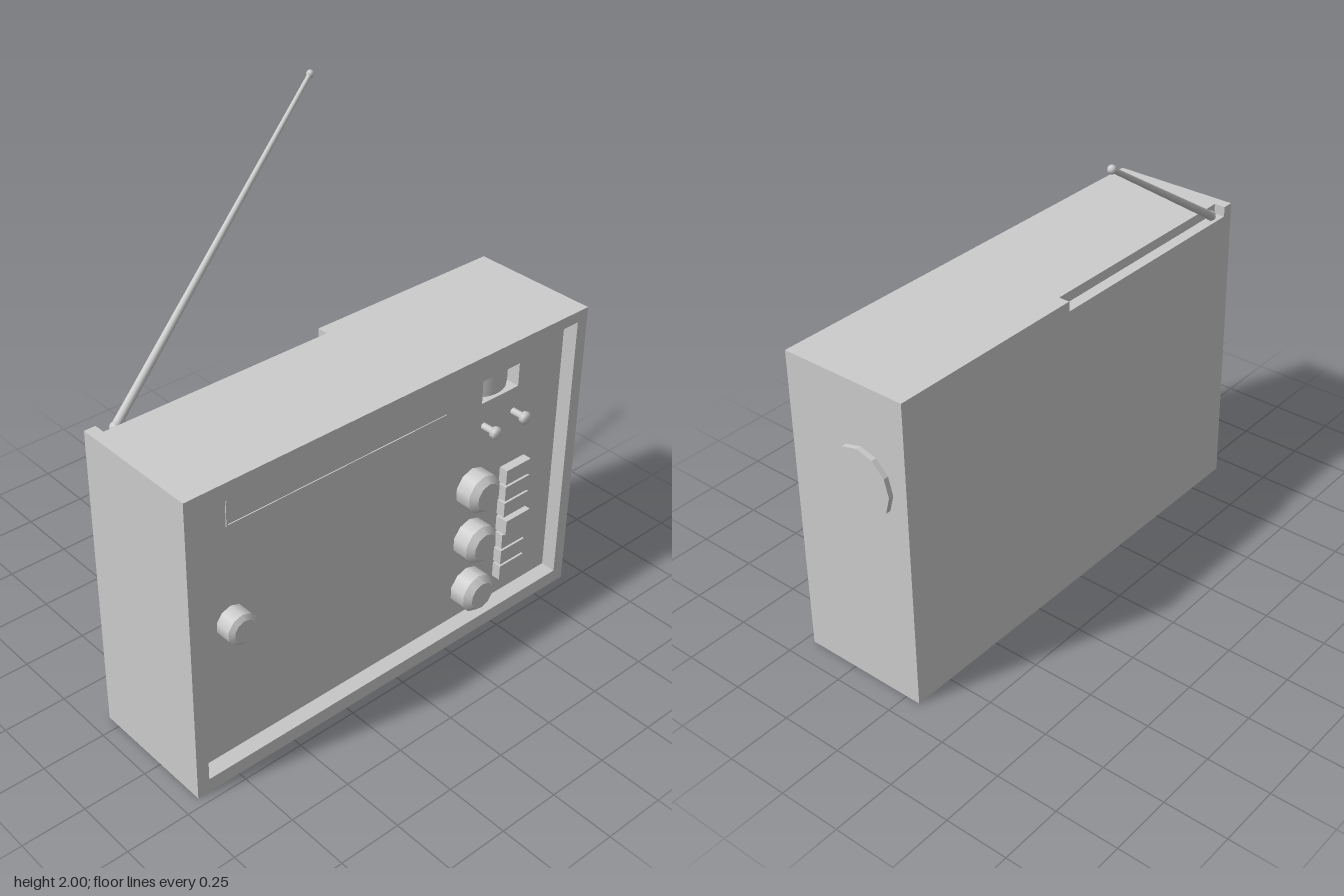
import * as THREE from 'three';

const material = new THREE.MeshStandardMaterial({ color: 0xcccccc, side: THREE.DoubleSide });
const flat = new THREE.MeshStandardMaterial({ color: 0xcccccc, flatShading: true, side: THREE.DoubleSide });

// Case extents
const L = -0.93, R = 0.91, TOP = 1.245, BACK = -0.06, FRONT = 0.465, PANEL = 0.415;

const rect = (x0, y0, x1, y1) => [[x0, y0], [x1, y0], [x1, y1], [x0, y1]];
const toVec = (pts) => pts.map(([x, y]) => new THREE.Vector2(x, y));

export function createModel() {
  const radio = new THREE.Group();
  radio.name = 'portableRadio';

  function add(name, geometry, x = 0, y = 0, z = 0, mat = material) {
    const mesh = new THREE.Mesh(geometry, mat);
    mesh.name = name;
    mesh.position.set(x, y, z);
    radio.add(mesh);
    return mesh;
  }

  // A slab of the case between two depths, with an optional opening
  function slab(name, outline, z0, z1, hole) {
    const shape = new THREE.Shape(toVec(outline));
    if (hole) shape.holes.push(new THREE.Path(toVec(hole)));
    add(name, new THREE.ExtrudeGeometry(shape, { depth: z1 - z0, bevelEnabled: false }), 0, 0, z0, flat);
  }

  // Box given by its lower and upper corners
  function block(name, [x0, y0, z0], [x1, y1, z1]) {
    add(name, new THREE.BoxGeometry(x1 - x0, y1 - y0, z1 - z0),
      (x0 + x1) / 2, (y0 + y1) / 2, (z0 + z1) / 2, flat);
  }

  // Case: notched back, solid middle, panel with display window, front frame
  const full = rect(L, 0, R, TOP);
  const rim = rect(-0.88, 0.058, 0.86, 1.2);
  const inner = rect(-0.867, 0.073, 0.846, 1.188);
  const notched = [[L, 0], [R, 0], [R, TOP], [0.07, TOP], [0.07, 1.205],
    [-0.885, 1.205], [-0.885, TOP], [L, TOP]];
  slab('caseBack', notched, BACK, -0.015);
  slab('caseMiddle', full, -0.015, 0.36);
  slab('frontPanel', full, 0.36, PANEL, rect(0.43, 1.005, 0.617, 1.1));
  slab('frontFrame', full, PANEL, FRONT, rim);

  // Slanted walls inside the front frame
  const corners = [], faces = [];
  for (let i = 0; i < 4; i++) {
    corners.push(...rim[i], FRONT, ...inner[i], PANEL);
    const a = 2 * i, b = 2 * ((i + 1) % 4);
    faces.push(a, b, b + 1, a, b + 1, a + 1);
  }
  const bezel = new THREE.BufferGeometry();
  bezel.setAttribute('position', new THREE.Float32BufferAttribute(corners, 3));
  bezel.setIndex(faces);
  bezel.computeVertexNormals();
  add('frameBezel', bezel, 0, 0, 0, flat);

  // Curved drum behind the display window
  add('displayDrum', new THREE.CylinderGeometry(0.12, 0.12, 0.095, 24, 1, false, -0.9, 1.8),
    0.523, 1.052, 0.28);

  // Tuning scale lines
  block('scaleEnd', [-0.733, 1.032, PANEL], [-0.727, 1.13, PANEL + 0.004]);
  block('scaleLine', [-0.733, 1.032, PANEL], [0.25, 1.038, PANEL + 0.004]);

  // Turned knob whose profile lists radius and height above the panel
  function knob(name, x, y, sides, profile) {
    const geometry = new THREE.LatheGeometry(toVec(profile), sides);
    geometry.rotateX(Math.PI / 2);
    add(name, geometry, x, y, PANEL);
  }
  for (const y of [0.66, 0.43, 0.2]) {
    knob('controlKnob', 0.4, y, 10,
      [[0.08, 0], [0.08, 0.066], [0.08, 0.066], [0.056, 0.09], [0.056, 0.09], [0, 0.09]]);
  }
  knob('sideKnob', -0.725, 0.645, 10,
    [[0.062, 0], [0.062, 0.062], [0.062, 0.062], [0.044, 0.075], [0.044, 0.075], [0, 0.075]]);
  for (const x of [0.445, 0.598]) {
    knob('smallKnob', x, 0.905, 8,
      [[0.014, 0], [0.014, 0.045], [0.025, 0.052], [0.025, 0.068], [0.015, 0.077], [0, 0.077]]);
  }

  // Column of push buttons, the fourth one standing out further
  for (let i = 0; i < 7; i++) {
    const y = 0.677 - i * 0.0745;
    block('pushButton', [0.55, y - 0.064, PANEL], [0.678, y, i === 3 ? 0.468 : 0.452]);
  }

  // Thumb dial on the left side
  const dial = new THREE.CylinderGeometry(0.137, 0.137, 0.03, 12);
  dial.rotateZ(-Math.PI / 2);
  add('sideDial', dial, 0.915, 0.865, 0.138, flat);

  // Telescopic antenna, thinner towards the tip
  const base = new THREE.Vector3(-0.825, 1.225, -0.038);
  const tip = new THREE.Vector3(0.403, 1.985, -0.488);
  const direction = tip.clone().sub(base);
  const mid = base.clone().add(tip).multiplyScalar(0.5);
  const rod = add('antennaRod', new THREE.CylinderGeometry(0.009, 0.017, direction.length(), 10),
    mid.x, mid.y, mid.z);
  rod.quaternion.setFromUnitVectors(new THREE.Vector3(0, 1, 0), direction.normalize());
  add('antennaTip', new THREE.SphereGeometry(0.015, 10, 8), tip.x, tip.y, tip.z);
  add('antennaPivot', new THREE.SphereGeometry(0.02, 10, 8), base.x, base.y, base.z);

  return radio;
}
